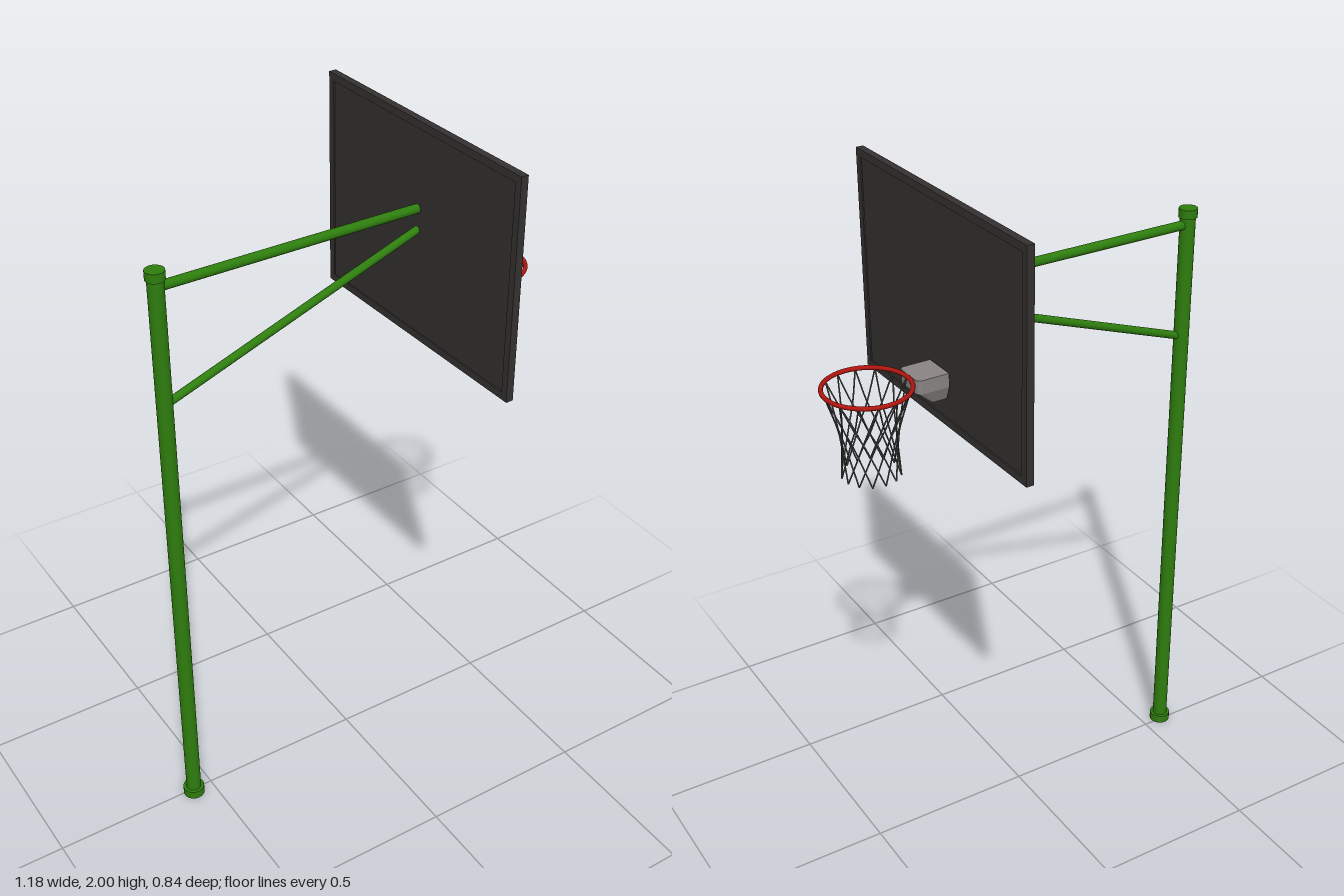
import * as THREE from 'three';
import { mergeGeometries } from 'three/addons/utils/BufferGeometryUtils.js';

const material = (color) => new THREE.MeshStandardMaterial({ color });
const green = material(0x2e7d0e);
const dark = material(0x353131);
const red = material(0xb0150f);
const metal = material(0x8a8484);
const cord = material(0x555555);

const POLE_X = -0.563;
const BOARD_X = 0.236;
const HOOP = new THREE.Vector3(0.463, 1.516, 0.004);
const HOOP_RADIUS = 0.119;

function add(parent, name, geometry, mat) {
  const mesh = new THREE.Mesh(geometry, mat);
  mesh.name = name;
  parent.add(mesh);
  return mesh;
}

// Straight round bar between two points
function bar(from, to, radius) {
  const a = new THREE.Vector3(...from);
  const b = new THREE.Vector3(...to);
  const geometry = new THREE.CylinderGeometry(radius, radius, a.distanceTo(b), 20);
  const up = new THREE.Vector3(0, 1, 0);
  geometry.applyQuaternion(new THREE.Quaternion().setFromUnitVectors(up, b.clone().sub(a).normalize()));
  const mid = a.add(b).multiplyScalar(0.5);
  return geometry.translate(mid.x, mid.y, mid.z);
}

function rectangle(path, w, h) {
  path.moveTo(-w / 2, -h / 2);
  path.lineTo(w / 2, -h / 2);
  path.lineTo(w / 2, h / 2);
  path.lineTo(-w / 2, h / 2);
  path.closePath();
  return path;
}

// Panel recessed on both faces inside a narrow frame
function buildBackboard() {
  const group = new THREE.Group();
  group.name = 'backboard';
  const width = 0.84, height = 0.643, border = 0.022, depth = 0.022;
  const outline = rectangle(new THREE.Shape(), width, height);
  outline.holes.push(rectangle(new THREE.Path(), width - 2 * border, height - 2 * border));
  const frame = new THREE.ExtrudeGeometry(outline, { depth, bevelEnabled: false });
  frame.translate(0, 0, -depth / 2).rotateY(Math.PI / 2);
  add(group, 'backboardFrame', frame, dark);
  add(group, 'backboardPanel', new THREE.BoxGeometry(0.014, height - 2 * border, width - 2 * border), dark);
  group.position.set(BOARD_X, 2 - height / 2, 0);
  return group;
}

// Rounded plate extruded downwards, its lower half drawn in towards the board
function bracketGeometry() {
  const length = 0.094, half = 0.05, r = 0.016, height = 0.08;
  const s = new THREE.Shape();
  s.moveTo(0, -half);
  s.lineTo(length - r, -half);
  s.quadraticCurveTo(length, -half, length, -half + r);
  s.lineTo(length, half - r);
  s.quadraticCurveTo(length, half, length - r, half);
  s.lineTo(0, half);
  s.closePath();
  const geometry = new THREE.ExtrudeGeometry(s, { depth: height, steps: 2, bevelEnabled: false, curveSegments: 6 });
  geometry.rotateX(Math.PI / 2);
  const p = geometry.attributes.position;
  for (let i = 0; i < p.count; i++) {
    const t = Math.max(0, (-p.getY(i) - height / 2) / (height / 2));
    p.setX(i, p.getX(i) * (1 - 0.5 * t));
    p.setZ(i, p.getZ(i) * (1 - 0.3 * t));
  }
  geometry.computeVertexNormals();
  return geometry.translate(BOARD_X + 0.01, 1.52, HOOP.z);
}

// Two families of cords spiral in opposite directions and cross in diamonds
function netGeometry() {
  const count = 14, step = (Math.PI * 2) / count;
  // Height and radius of the net at each row of knots
  const rows = [
    [1.514, 0.117], [1.43, 0.089], [1.388, 0.079], [1.347, 0.075],
    [1.306, 0.076], [1.262, 0.081],
  ];
  const cords = [];
  for (let i = 0; i < count; i++) {
    for (const side of [-1, 1]) {
      const points = rows.map(([y, radius], k) => {
        const angle = i * step + side * k * step / 2;
        return new THREE.Vector3(Math.cos(angle) * radius, y, Math.sin(angle) * radius);
      });
      cords.push(new THREE.TubeGeometry(new THREE.CatmullRomCurve3(points), 24, 0.0022, 5));
    }
  }
  return mergeGeometries(cords).translate(HOOP.x, 0, HOOP.z);
}

export function createModel() {
  const model = new THREE.Group();
  model.name = 'basketballHoop';

  // Pole with collars at foot and top
  add(model, 'pole', bar([POLE_X, 0, 0], [POLE_X, 1.79, 0], 0.0225), green);
  add(model, 'poleFoot', bar([POLE_X, 0, 0], [POLE_X, 0.026, 0], 0.032), green);
  add(model, 'poleCap', bar([POLE_X, 1.772, 0], [POLE_X, 1.798, 0], 0.027), green);

  // Arms carrying the board
  add(model, 'upperArm', bar([POLE_X, 1.75, 0], [BOARD_X - 0.004, 1.75, 0], 0.0135), green);
  add(model, 'diagonalBrace', bar([POLE_X, 1.407, 0], [BOARD_X - 0.004, 1.688, 0], 0.0115), green);

  model.add(buildBackboard());
  add(model, 'hoopBracket', bracketGeometry(), metal);

  // Rim and net
  const rim = new THREE.TorusGeometry(HOOP_RADIUS, 0.0065, 10, 64).rotateX(Math.PI / 2);
  add(model, 'rim', rim.translate(HOOP.x, HOOP.y, HOOP.z), red);
  add(model, 'net', netGeometry(), cord);

  // The whole stand is turned by about one degree
  model.rotation.y = 0.0165;
  return model;
}
